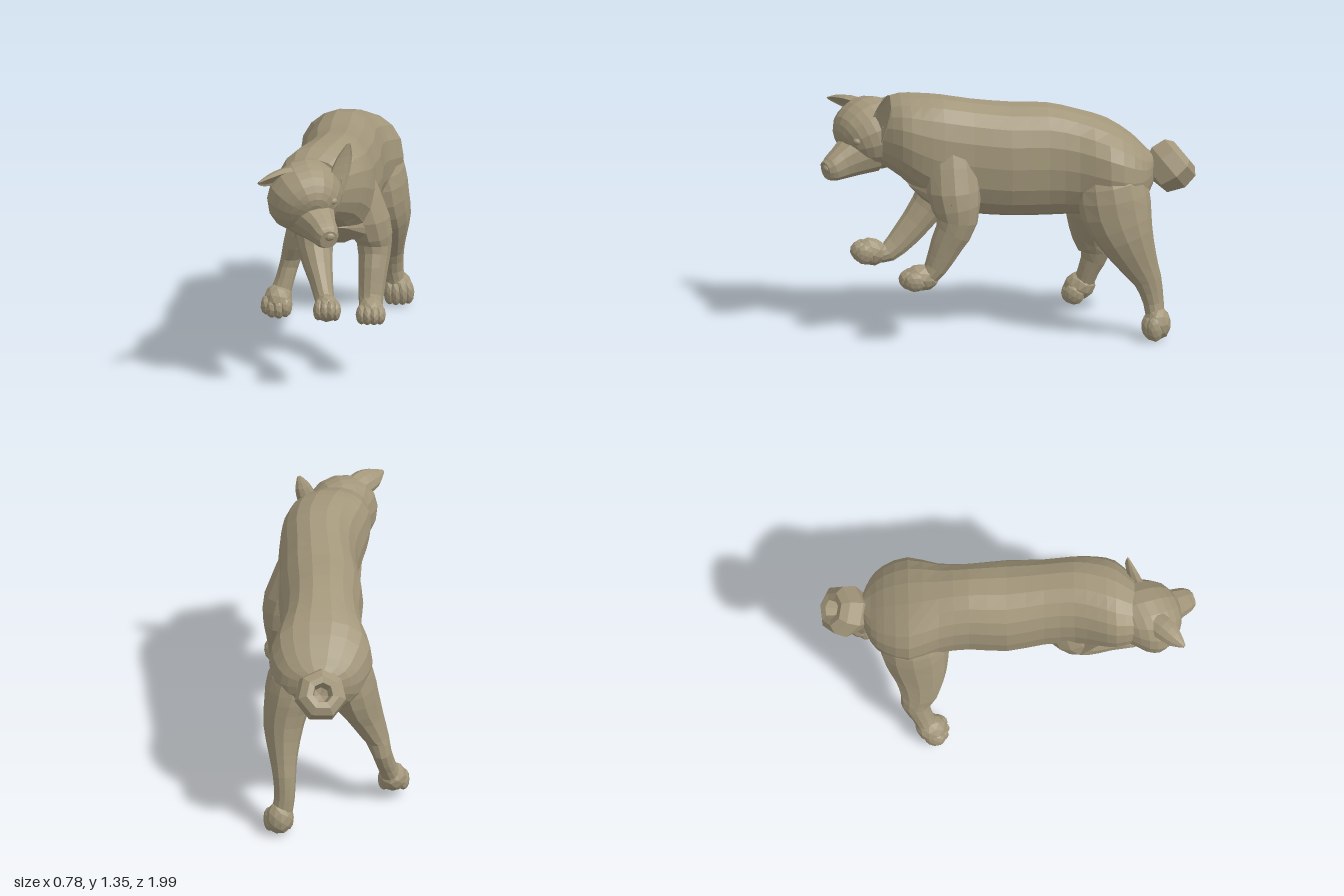
import * as THREE from 'three';
import { ConvexGeometry } from 'three/addons/geometries/ConvexGeometry.js';

const fur = new THREE.MeshStandardMaterial({ color: 0xa3977b, flatShading: true, side: THREE.DoubleSide });

function add(parent, name, geometry, position = [0, 0, 0], scale = [1, 1, 1]) {
  const mesh = new THREE.Mesh(geometry, fur);
  mesh.name = name;
  mesh.position.set(...position);
  mesh.scale.set(...scale);
  parent.add(mesh);
  return mesh;
}

// Skin over cross-sections [x, y, z, halfWidth, halfDepth]. side is the width direction, up an
// optional fixed depth direction, power below 1 squares the rings, scoop hollows their front half.
function loft(sections, { sides = 12, steps = 2, side = [1, 0, 0], up = null, power = 1, scoop = 0 } = {}) {
  const curve = points => new THREE.CatmullRomCurve3(points, false, 'catmullrom', 0.5);
  const path = curve(sections.map(s => new THREE.Vector3(s[0], s[1], s[2])));
  const size = curve(sections.map(s => new THREE.Vector3(s[3], s[4], 0)));
  const rings = (sections.length - 1) * steps;
  const across = new THREE.Vector3(...side).normalize();
  const square = v => Math.sign(v) * Math.abs(v) ** power;
  const positions = [], index = [];
  for (let i = 0; i <= rings; i++) {
    const t = i / rings, c = path.getPoint(t), r = size.getPoint(t);
    const depth = up ? new THREE.Vector3(...up) : path.getTangent(t).cross(across).normalize();
    for (let j = 0; j < sides; j++) {
      const a = (j / sides) * Math.PI * 2;
      let s = square(Math.sin(a));
      if (scoop && s < 0) s *= -scoop;
      const p = c.clone().addScaledVector(across, square(Math.cos(a)) * r.x).addScaledVector(depth, s * r.y);
      positions.push(p.x, p.y, p.z);
    }
  }
  for (let i = 0; i < rings; i++) {
    for (let j = 0; j < sides; j++) {
      const k = (j + 1) % sides;
      const a = i * sides + j, b = i * sides + k, c = b + sides, d = a + sides;
      index.push(a, b, d, b, c, d);
    }
  }
  // End caps
  const n = (rings + 1) * sides, last = rings * sides;
  for (const t of [0, 1]) positions.push(...path.getPoint(t).toArray());
  for (let j = 0; j < sides; j++) {
    const k = (j + 1) % sides;
    index.push(n, k, j, n + 1, last + j, last + k);
  }
  const g = new THREE.BufferGeometry();
  g.setAttribute('position', new THREE.Float32BufferAttribute(positions, 3));
  g.setIndex(index);
  g.computeVertexNormals();
  return g;
}

// Paw with a rounded pad and four toes; w, h and l are half sizes
function addPaw(parent, name, position, [w, h, l], pitch, yaw) {
  const paw = new THREE.Group();
  paw.name = name;
  paw.position.set(...position);
  paw.rotation.set(pitch, yaw, 0);
  add(paw, 'pad', new THREE.IcosahedronGeometry(1, 1), [0, 0, -l * 0.1], [w * 0.9, h, l * 0.88]);
  for (const x of [-0.6, -0.22, 0.22, 0.6]) {
    const reach = Math.abs(x) < 0.5 ? 0.45 : 0.28;
    add(paw, 'toe', new THREE.IcosahedronGeometry(1, 1), [x * w, -h * 0.2, l * reach], [w * 0.4, h * 0.75, l * 0.55]);
  }
  parent.add(paw);
}

export function createModel() {
  const model = new THREE.Group();
  model.name = 'dog';

  // Trunk from rump to neck
  add(model, 'body', loft([
    [0.09, 0.885, -0.76, 0.08, 0.08],
    [0.09, 0.87, -0.72, 0.17, 0.13],
    [0.09, 0.87, -0.65, 0.235, 0.2],
    [0.08, 0.90, -0.52, 0.275, 0.255],
    [0.075, 0.93, -0.36, 0.225, 0.28],
    [0.075, 0.948, -0.2, 0.21, 0.302],
    [0.075, 0.953, 0, 0.225, 0.305],
    [0.085, 0.975, 0.2, 0.207, 0.308],
    [0.085, 1.003, 0.36, 0.212, 0.307],
    [0.06, 1.045, 0.48, 0.225, 0.268],
    [0.028, 1.085, 0.58, 0.225, 0.22],
    [-0.01, 1.095, 0.68, 0.17, 0.17],
  ], { sides: 18, up: [0, 1, 0], power: 0.88 }));

  // Angular fur on the chest
  add(model, 'chestRuff', new ConvexGeometry([
    [-0.15, 0.95, 0.5], [-0.13, 0.73, 0.39], [0.1, 0.75, 0.47], [0.33, 0.73, 0.36],
    [0.375, 0.79, 0.33], [0.28, 0.98, 0.38], [0.16, 0.84, 0.54], [-0.05, 0.86, 0.57], [0.05, 1.0, 0.3],
  ].map(p => new THREE.Vector3(...p))));

  // Head turned towards its left
  const side = [0.89, 0, -0.45];
  add(model, 'skull', loft([
    [-0.065, 1.09, 0.60, 0.13, 0.15],
    [-0.055, 1.085, 0.67, 0.195, 0.19],
    [-0.04, 1.075, 0.74, 0.207, 0.2],
    [-0.01, 1.055, 0.81, 0.18, 0.175],
    [0.015, 1.035, 0.86, 0.125, 0.125],
    [0.028, 1.025, 0.88, 0.05, 0.06],
  ], { sides: 16, side }));
  add(model, 'muzzle', loft([
    [-0.02, 1.0, 0.76, 0.15, 0.13],
    [0.03, 0.97, 0.84, 0.11, 0.105],
    [0.07, 0.945, 0.9, 0.08, 0.085],
    [0.1, 0.925, 0.95, 0.068, 0.066],
    [0.114, 0.918, 0.98, 0.048, 0.05],
  ], { sides: 12, side, power: 0.85 }));
  add(model, 'nose', new THREE.IcosahedronGeometry(1, 1), [0.113, 0.935, 0.972], [0.034, 0.026, 0.024]);
  for (const [name, p] of [['rightEye', [-0.025, 1.07, 0.885]], ['leftEye', [0.118, 1.08, 0.812]]]) {
    add(model, name, new THREE.IcosahedronGeometry(1, 1), p, [0.026, 0.02, 0.024]);
  }

  // Hollow ears
  add(model, 'leftEar', loft([
    [0.128, 1.08, 0.715, 0.045, 0.04],
    [0.145, 1.19, 0.695, 0.06, 0.045],
    [0.168, 1.28, 0.67, 0.047, 0.032],
    [0.187, 1.35, 0.652, 0.01, 0.01],
  ], { sides: 10, side: [0.75, 0, -0.6], scoop: 0.3 }));
  add(model, 'rightEar', loft([
    [-0.09, 1.19, 0.75, 0.07, 0.05],
    [-0.155, 1.2, 0.83, 0.07, 0.05],
    [-0.215, 1.2, 0.89, 0.052, 0.035],
    [-0.262, 1.205, 0.94, 0.01, 0.01],
  ], { sides: 10, side: [0.5, 0.65, 0.5], scoop: 0.3 }));

  // Legs, each from inside the trunk down to the ankle
  const legs = {
    leftHindLeg: [
      [0.16, 1.0, -0.5, 0.12, 0.14], [0.215, 0.85, -0.53, 0.145, 0.185], [0.25, 0.7, -0.555, 0.13, 0.19],
      [0.278, 0.56, -0.605, 0.107, 0.15], [0.28, 0.42, -0.67, 0.077, 0.105], [0.275, 0.32, -0.72, 0.062, 0.075],
      [0.275, 0.2, -0.75, 0.055, 0.055], [0.295, 0.1, -0.76, 0.06, 0.05],
    ],
    rightHindLeg: [
      [0, 1.0, -0.5, 0.12, 0.14], [-0.05, 0.85, -0.5, 0.145, 0.185], [-0.09, 0.7, -0.485, 0.135, 0.18],
      [-0.145, 0.56, -0.465, 0.105, 0.145], [-0.205, 0.42, -0.465, 0.075, 0.105],
      [-0.24, 0.33, -0.485, 0.055, 0.078], [-0.27, 0.22, -0.45, 0.052, 0.058], [-0.3, 0.13, -0.42, 0.06, 0.055],
    ],
    leftFrontLeg: [
      [0.17, 1.12, 0.32, 0.09, 0.13], [0.245, 0.84, 0.31, 0.125, 0.145], [0.285, 0.68, 0.295, 0.093, 0.11],
      [0.285, 0.55, 0.35, 0.077, 0.088], [0.28, 0.42, 0.41, 0.067, 0.063], [0.285, 0.37, 0.46, 0.06, 0.05],
    ],
    rightFrontLeg: [
      [0, 1.05, 0.3, 0.09, 0.12], [-0.025, 0.82, 0.34, 0.11, 0.125], [-0.015, 0.67, 0.43, 0.093, 0.095],
      [0.03, 0.53, 0.55, 0.063, 0.075], [0.06, 0.45, 0.64, 0.052, 0.058], [0.075, 0.445, 0.7, 0.05, 0.05],
    ],
  };
  for (const [name, sections] of Object.entries(legs)) add(model, name, loft(sections));

  addPaw(model, 'leftHindPaw', [0.303, 0.09, -0.763], [0.082, 0.092, 0.08], 0.1, 0.15);
  addPaw(model, 'rightHindPaw', [-0.303, 0.12, -0.395], [0.085, 0.078, 0.1], 0.5, -0.15);
  addPaw(model, 'leftFrontPaw', [0.288, 0.37, 0.495], [0.08, 0.072, 0.11], -0.1, 0.1);
  addPaw(model, 'rightFrontPaw', [0.08, 0.46, 0.745], [0.075, 0.075, 0.1], -0.4, 0.15);

  // Curled tail with a hollow centre
  const tailProfile = [
    [0, -0.14], [0.1, -0.12], [0.142, -0.03], [0.13, 0.05], [0.09, 0.08], [0.055, 0.075], [0.04, 0], [0, -0.02],
  ].map(p => new THREE.Vector2(...p));
  const tail = add(model, 'tail', new THREE.LatheGeometry(tailProfile, 7), [0.082, 0.905, -0.868]);
  tail.rotation.set(-0.9, 0, 0.12);

  return model;
}
